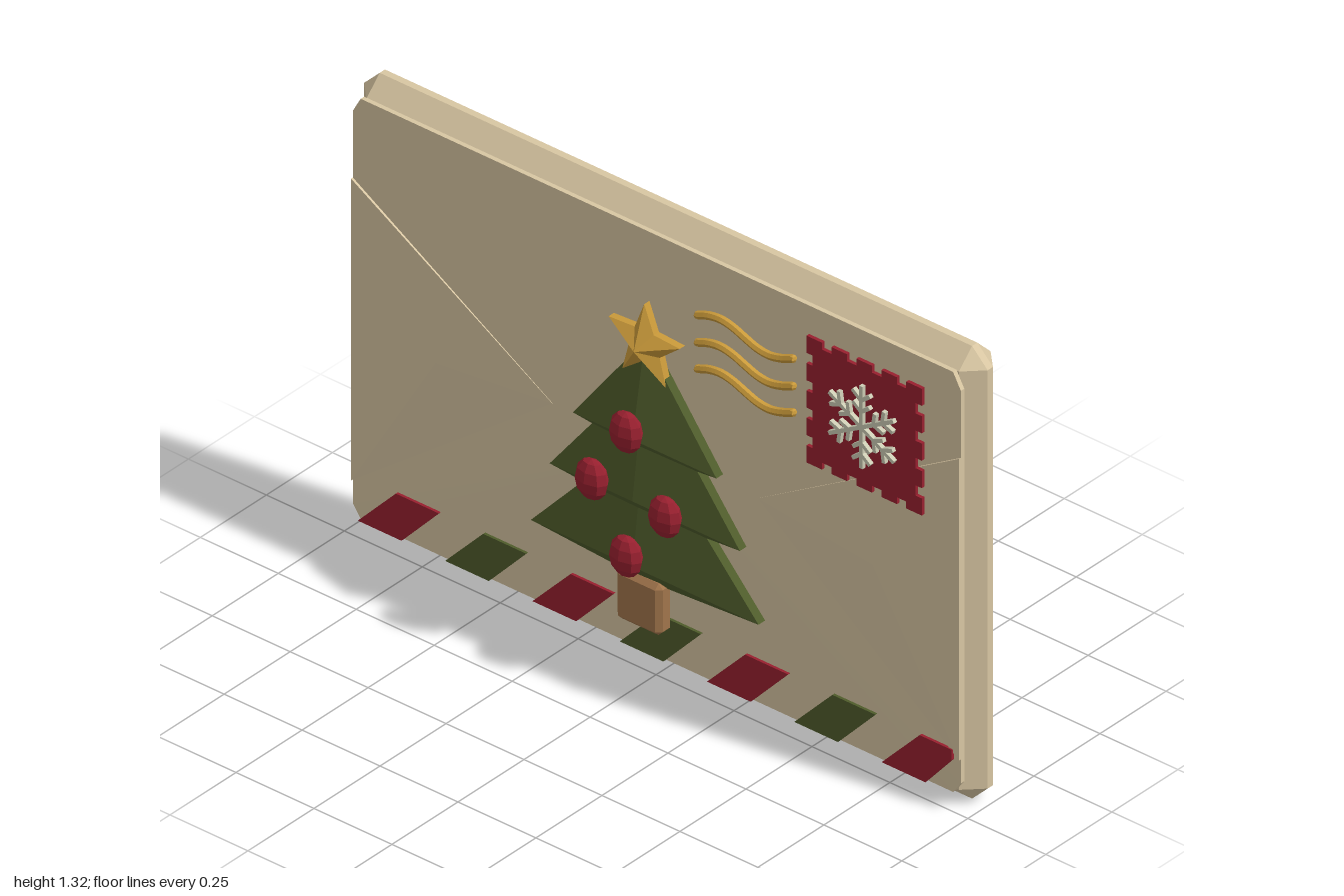
import * as THREE from 'three';
import { ConvexGeometry } from 'three/addons/geometries/ConvexGeometry.js';
import { mergeGeometries } from 'three/addons/utils/BufferGeometryUtils.js';

const makeMaterial = (name, color) => {
  const m = new THREE.MeshStandardMaterial({ color, flatShading: true });
  m.name = name;
  return m;
};

// Box with every edge chamfered by c
function chamferBox(w, h, d, c) {
  const pts = [];
  for (const sx of [-1, 1]) for (const sy of [-1, 1]) for (const sz of [-1, 1]) {
    const x = w / 2, y = h / 2, z = d / 2;
    pts.push(new THREE.Vector3(sx * x, sy * (y - c), sz * (z - c)));
    pts.push(new THREE.Vector3(sx * (x - c), sy * y, sz * (z - c)));
    pts.push(new THREE.Vector3(sx * (x - c), sy * (y - c), sz * z));
  }
  return new ConvexGeometry(pts);
}

// Plate with a counter-clockwise outline whose front rises to a single peak
function peakedPlate(outline, zBack, zRim, peak) {
  const p = [];
  outline.forEach(([ax, ay], i) => {
    const [bx, by] = outline[(i + 1) % outline.length];
    p.push(ax, ay, zRim, bx, by, zRim, ...peak);
    p.push(bx, by, zBack, ax, ay, zBack, peak[0], peak[1], zBack);
    p.push(ax, ay, zBack, bx, by, zBack, bx, by, zRim);
    p.push(ax, ay, zBack, bx, by, zRim, ax, ay, zRim);
  });
  const g = new THREE.BufferGeometry();
  g.setAttribute('position', new THREE.Float32BufferAttribute(p, 3));
  g.computeVertexNormals();
  return g;
}

function plate(points, depth) {
  const shape = new THREE.Shape(points.map(([x, y]) => new THREE.Vector2(x, y)));
  return new THREE.ExtrudeGeometry(shape, { depth, bevelEnabled: false });
}

export function createModel() {
  const group = new THREE.Group();
  const paper = makeMaterial('paper', 0xd8c6a2);
  const red = makeMaterial('red', 0x98202f);
  const green = makeMaterial('green', 0x4f5c2b);
  const gold = makeMaterial('gold', 0xca9a3a);
  const bark = makeMaterial('bark', 0xa0744b);
  const frost = makeMaterial('frost', 0xccccb4);

  const add = (name, geometry, material, x = 0, y = 0, z = 0) => {
    const mesh = new THREE.Mesh(geometry, material);
    mesh.name = name;
    mesh.position.set(x, y, z);
    group.add(mesh);
    return mesh;
  };

  // Envelope body and front panel
  add('envelopeBody', chamferBox(2, 1.32, 0.12, 0.05), paper, 0, 0.66, -0.085);
  const panel = [[-0.95, 0.055], [0.95, 0.055], [0.975, 0.09], [0.975, 1.235],
    [0.95, 1.28], [-0.95, 1.28], [-0.975, 1.235], [-0.975, 0.09]];
  add('frontPanel', peakedPlate(panel, -0.016, -0.003, [0, 0.65, 0.006]), paper);

  // Folded side flaps
  const flap = [[-0.975, 1.04], [-0.975, 0.16], [-0.33, 0.655]];
  add('rightFlap', peakedPlate(flap, -0.014, 0.004, [-0.7, 0.62, 0.008]), paper);
  const mirrored = flap.map(([x, y]) => [-x, y]).reverse();
  add('leftFlap', peakedPlate(mirrored, -0.014, 0.004, [0.7, 0.62, 0.008]), paper);

  // Slanted border stripes; the last is clipped at the panel edge
  for (let i = 0; i < 7; i++) {
    const x = -0.95 + i * 0.28;
    const end = i < 6 ? [[x + 0.26, 0.185]] : [[0.955, 0.155], [0.955, 0.185]];
    const pts = [[x, 0.055], [x + 0.14, 0.055], ...end, [x + 0.122, 0.185]];
    add('borderStripe', plate(pts, 0.008), i % 2 ? green : red);
  }

  // Tree tiers: half width, base height, tip height
  const tiers = [[0.365, 0.32, 0.72], [0.305, 0.51, 0.9], [0.23, 0.69, 0.995]];
  tiers.forEach(([w, base, tip]) => {
    const outline = [[0, tip], [-w, base], [0, base - 0.022], [w, base]];
    add('treeTier', peakedPlate(outline, 0.018, 0.043, [0, base + 0.04, 0.09]), green);
  });
  add('treeTrunk', chamferBox(0.145, 0.15, 0.056, 0.014), bark, 0, 0.245, 0.046);

  // Baubles
  const ball = new THREE.SphereGeometry(1, 8, 6).scale(0.051, 0.058, 0.031);
  for (const [x, y] of [[0, 0.765], [-0.11, 0.582], [0.125, 0.57], [0, 0.403]]) {
    add('bauble', ball, red, x, y, 0.114);
  }

  // Faceted star on the treetop
  const star = [];
  for (let i = 0; i < 10; i++) {
    const a = Math.PI / 2 + i * Math.PI / 5, r = i % 2 ? 0.052 : 0.12;
    star.push([Math.cos(a) * r, Math.sin(a) * r]);
  }
  add('treeStar', peakedPlate(star, 0.025, 0.045, [0, 0, 0.085]), gold, 0, 0.983, 0);

  // Wavy postmark lines
  for (const y of [1.125, 1.045, 0.968]) {
    const pts = [];
    for (let i = 0; i <= 8; i++) {
      const t = i / 8;
      pts.push(new THREE.Vector3(0.155 + 0.305 * t, y + 0.02 * Math.sin(t * Math.PI * 2 + 0.1), 0.025));
    }
    const curve = new THREE.CatmullRomCurve3(pts);
    const parts = [new THREE.TubeGeometry(curve, 24, 0.011, 6)];
    for (const p of [pts[0], pts[8]]) {
      parts.push(new THREE.SphereGeometry(0.011, 6, 4).translate(p.x, p.y, p.z));
    }
    add('postmarkWave', mergeGeometries(parts), gold);
  }

  // Stamp with a notched edge: five teeth per side
  const half = 0.185, inset = 0.165;
  const edge = [[-half, -half]];
  for (let i = 0; i < 4; i++) {
    const a = -half + 0.05 + i * 0.08, b = a + 0.03;
    edge.push([a, -half], [a, -inset], [b, -inset], [b, -half]);
  }
  const outline = [];
  for (let s = 0; s < 4; s++) {
    const c = [1, 0, -1, 0][s], n = [0, 1, 0, -1][s];
    edge.forEach(([x, y]) => outline.push([x * c - y * n, x * n + y * c]));
  }
  add('stamp', plate(outline, 0.01), red, 0.686, 1.025, 0.012);

  // Snowflake: six arms with paired twigs
  const bars = [];
  const bar = (x, y, length, angle, arm) => {
    const g = new THREE.BoxGeometry(0.011, length, 0.012).translate(0, length / 2, 0);
    bars.push(g.rotateZ(angle).translate(x, y, 0).rotateZ(arm));
  };
  for (let i = 0; i < 6; i++) {
    const arm = i * Math.PI / 3;
    bar(0, 0, 0.12, 0, arm);
    for (const s of [-1, 1]) {
      bar(0, 0.045, 0.034, s * 0.9, arm);
      bar(0, 0.078, 0.036, s * 0.9, arm);
    }
  }
  add('snowflake', mergeGeometries(bars), frost, 0.685, 1.025, 0.028);

  return group;
}
